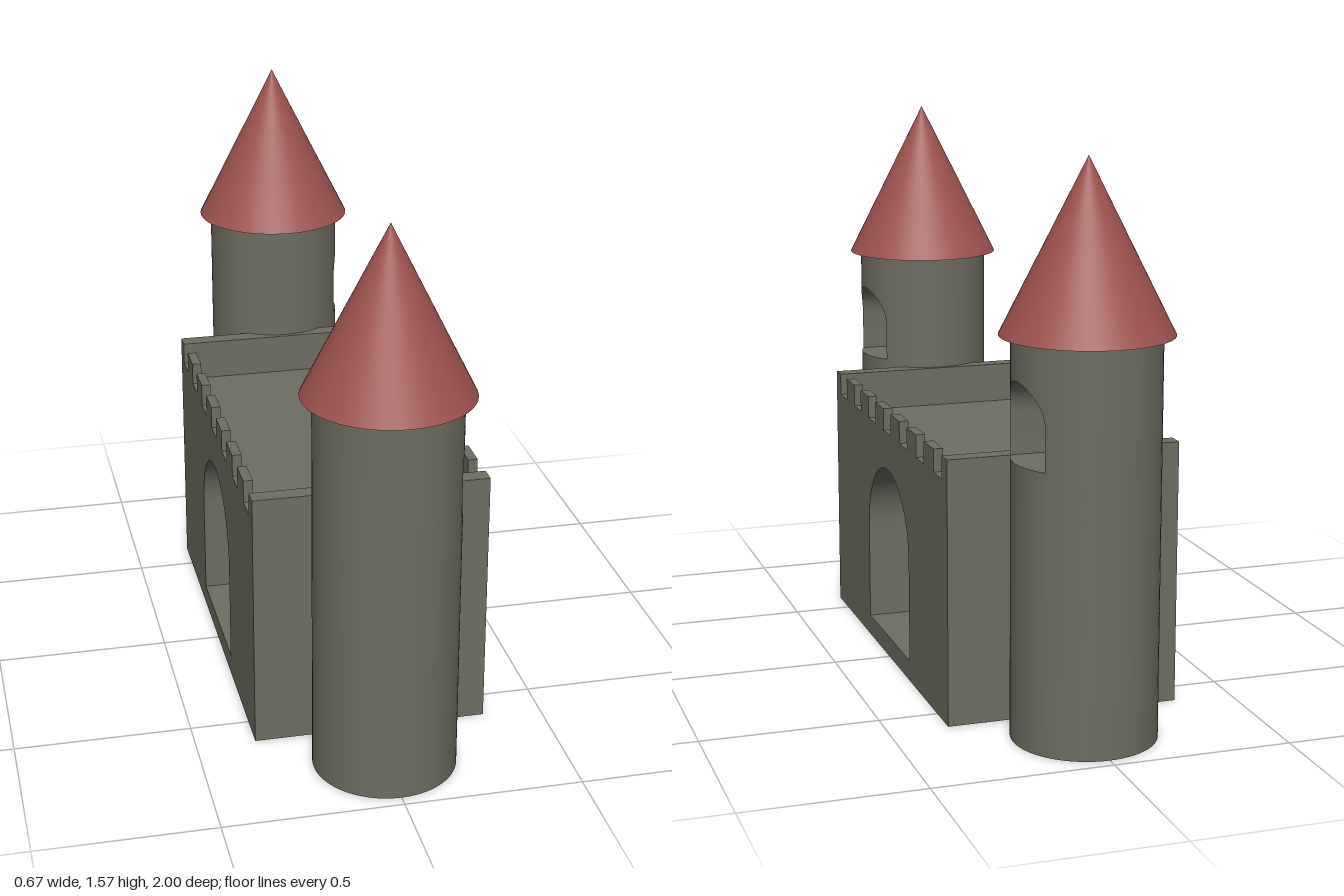
import * as THREE from 'three';
import { toCreasedNormals } from 'three/addons/utils/BufferGeometryUtils.js';

const stone = new THREE.MeshStandardMaterial({ color: 0x6d6d61 });
stone.name = 'stone';
const roofTile = new THREE.MeshStandardMaterial({ color: 0x9e5350 });
roofTile.name = 'roofTile';

function part(name, geometry, material, x = 0, y = 0, z = 0) {
  const mesh = new THREE.Mesh(geometry, material);
  mesh.name = name;
  mesh.position.set(x, y, z);
  return mesh;
}

// Round tower wall with an arched niche cut into its +x side
function towerWall(r, height) {
  const win = { z: -0.018, half: 0.105, sill: 0.77, spring: 0.885, back: -0.02 };
  const pos = [];
  const quad = (a, b, c, d) => pos.push(...a, ...b, ...c, ...a, ...c, ...d);
  const outer = z => Math.sqrt(r * r - z * z);

  // Columns across the niche, from high z to low z
  const n = 20;
  const column = i => {
    const t = (i / n) * Math.PI;
    const z = win.z + win.half * Math.cos(t);
    return { z, x: outer(z), top: win.spring + win.half * Math.sin(t) };
  };
  for (let i = 0; i < n; i++) {
    const a = column(i), b = column(i + 1), s = win.sill, k = win.back;
    quad([a.x, 0, a.z], [b.x, 0, b.z], [b.x, s, b.z], [a.x, s, a.z]);
    quad([a.x, a.top, a.z], [b.x, b.top, b.z], [b.x, height, b.z], [a.x, height, a.z]);
    quad([a.x, s, a.z], [b.x, s, b.z], [k, s, b.z], [k, s, a.z]);
    quad([k, a.top, a.z], [k, b.top, b.z], [b.x, b.top, b.z], [a.x, a.top, a.z]);
    quad([k, s, a.z], [k, s, b.z], [k, b.top, b.z], [k, a.top, a.z]);
  }

  // Niche side walls
  const a = column(0), b = column(n), s = win.sill, k = win.back;
  quad([a.x, s, a.z], [k, s, a.z], [k, a.top, a.z], [a.x, a.top, a.z]);
  quad([k, s, b.z], [b.x, s, b.z], [b.x, b.top, b.z], [k, b.top, b.z]);

  // Plain wall around the rest of the tower
  const start = Math.asin(a.z / r), end = Math.asin(b.z / r) + Math.PI * 2, m = 56;
  const at = (i, y) => {
    const p = start + ((end - start) * i) / m;
    return [r * Math.cos(p), y, r * Math.sin(p)];
  };
  for (let i = 0; i < m; i++) quad(at(i + 1, 0), at(i, 0), at(i, height), at(i + 1, height));

  const geo = new THREE.BufferGeometry();
  geo.setAttribute('position', new THREE.Float32BufferAttribute(pos, 3));
  return toCreasedNormals(geo, 0.6);
}

function createTower(name, z) {
  const tower = new THREE.Group();
  tower.name = name;
  tower.position.z = z;
  tower.add(part('towerWall', towerWall(0.2, 1.1), stone));
  tower.add(part('towerBase', new THREE.CircleGeometry(0.2, 64).rotateX(Math.PI / 2), stone));
  tower.add(part('towerRoof', new THREE.ConeGeometry(0.2325, 0.465, 64), roofTile, 0, 1.3325, 0));
  return tower;
}

// Gatehouse body with an arched passage running through along x
function gatehouseBody(halfX, halfZ, top) {
  const shape = new THREE.Shape();
  shape.moveTo(-halfZ, 0).lineTo(halfZ, 0).lineTo(halfZ, top).lineTo(-halfZ, top).closePath();
  const arch = new THREE.Path();
  arch.moveTo(-0.22, 0.06);
  arch.lineTo(-0.22, 0.355);
  arch.absarc(0, 0.355, 0.22, Math.PI, 0, true);
  arch.lineTo(0.22, 0.06);
  arch.closePath();
  shape.holes.push(arch);
  const geo = new THREE.ExtrudeGeometry(shape, { depth: halfX * 2, bevelEnabled: false, curveSegments: 32 });
  geo.translate(0, 0, -halfX).rotateY(Math.PI / 2);
  return toCreasedNormals(geo, 0.6);
}

export function createModel() {
  const model = new THREE.Group();
  model.name = 'castleGate';
  const halfX = 0.333, halfZ = 0.605, roof = 0.63, crenel = 0.685, top = 0.75;
  const thin = 0.027, thick = 0.05;

  model.add(part('gatehouseBody', gatehouseBody(halfX, halfZ, roof), stone));

  // Solid parapets beside the towers
  for (const side of [1, -1]) {
    model.add(part(side > 0 ? 'frontParapet' : 'backParapet',
      new THREE.BoxGeometry(halfX * 2, top - roof, thick), stone,
      0, (roof + top) / 2, side * (halfZ - thick / 2)));
  }

  // Battlements along the gate sides
  const pitch = 0.172, gap = 0.078;
  for (const side of [1, -1]) {
    const wall = new THREE.Group();
    wall.name = side > 0 ? 'leftBattlement' : 'rightBattlement';
    wall.position.x = side * (halfX - thin / 2);
    wall.add(part('battlementWall',
      new THREE.BoxGeometry(thin, crenel - roof, (halfZ - thick) * 2), stone, 0, (roof + crenel) / 2, 0));
    for (let i = 0; i < 6; i++) {
      wall.add(part('merlon', new THREE.BoxGeometry(thin, top - crenel, pitch - gap), stone,
        0, (crenel + top) / 2, (i - 2.5) * pitch));
    }
    model.add(wall);
  }

  model.add(createTower('frontTower', 0.7675), createTower('backTower', -0.7675));
  return model;
}
